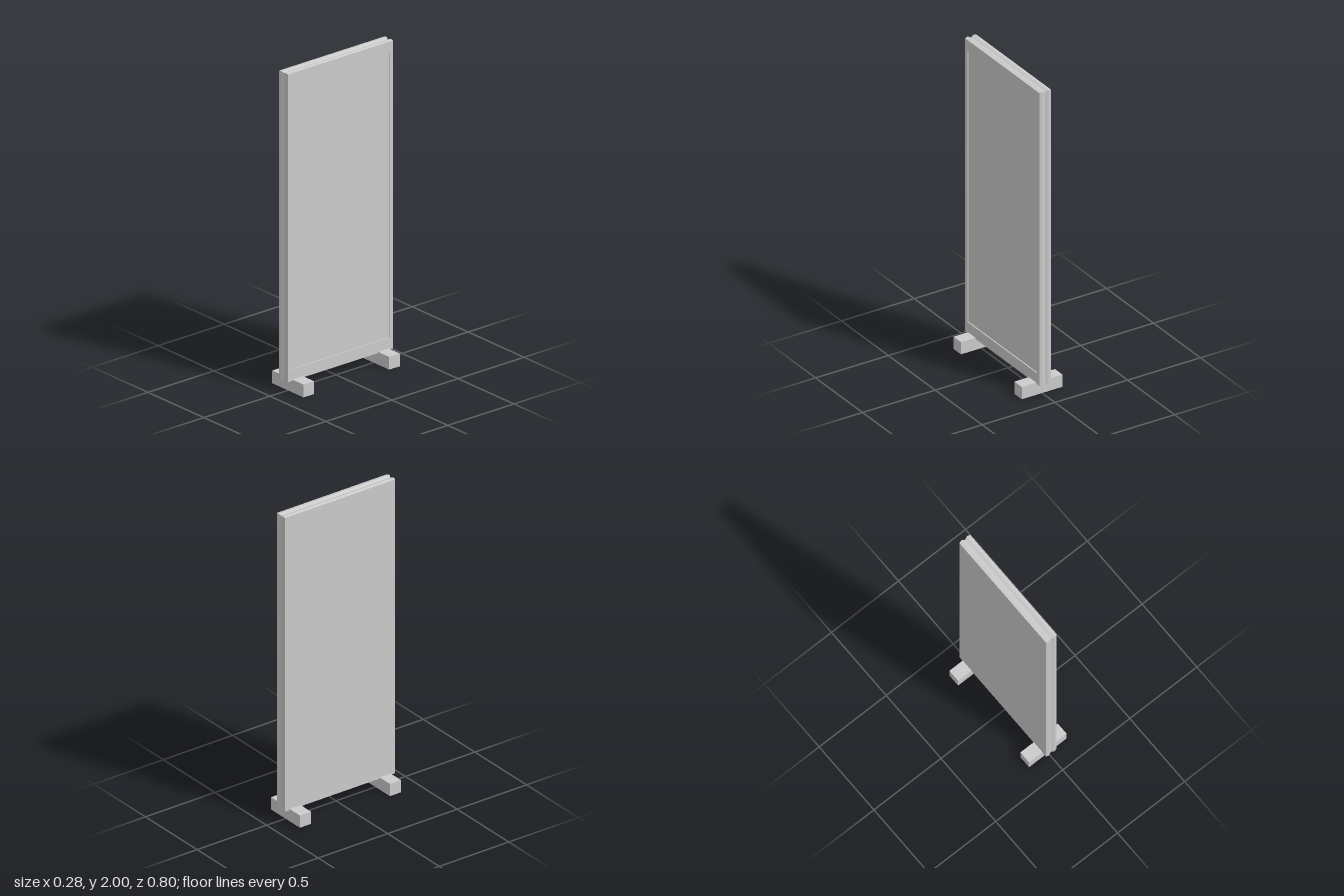
import * as THREE from 'three';

const material = new THREE.MeshStandardMaterial({ color: 0xcccccc, flatShading: true });

// Upright rectangle at depth x: half width in z, lower and upper height
function ring(x, halfZ, y0, y1) {
  return [[x, y0, halfZ], [x, y0, -halfZ], [x, y1, -halfZ], [x, y1, halfZ]];
}

// Outer outline of a panel, drawn in by a small inset
const outline = (x, inset) => ring(x, 0.4 - inset, 0.068 + inset, 2 - inset);

// Solid through rectangles ordered from -x to +x, closed at both ends
function loftRings(rings) {
  const pos = [];
  const quad = (a, b, c, d) => pos.push(...a, ...b, ...c, ...a, ...c, ...d);
  for (let i = 0; i < rings.length - 1; i++) {
    const a = rings[i], b = rings[i + 1];
    for (let j = 0; j < 4; j++) {
      const k = (j + 1) % 4;
      quad(a[j], a[k], b[k], b[j]);
    }
  }
  quad(...[...rings[0]].reverse());
  quad(...rings[rings.length - 1]);
  const g = new THREE.BufferGeometry();
  g.setAttribute('position', new THREE.Float32BufferAttribute(pos, 3));
  g.computeVertexNormals();
  return g;
}

export function createModel() {
  const model = new THREE.Group();
  const add = (name, geometry) => {
    const mesh = new THREE.Mesh(geometry, material);
    mesh.name = name;
    model.add(mesh);
    return mesh;
  };

  // Plain panel, with a slightly crowned rim
  add('plainPanel', loftRings([
    outline(-0.04, 0.004), outline(-0.02, 0), outline(0, 0.008),
  ]));

  // Framed panel, with a shallow recessed field
  add('framedPanel', loftRings([
    outline(0, 0.008), outline(0.02, 0), outline(0.04, 0.004),
    ring(0.04, 0.372, 0.145, 1.925), ring(0.033, 0.372, 0.145, 1.925),
  ]));

  // Two block feet across the panel
  for (const side of [1, -1]) {
    add(side > 0 ? 'frontFoot' : 'backFoot', new THREE.BoxGeometry(0.28, 0.08, 0.08))
      .position.set(0, 0.04, side * 0.324);
  }
  return model;
}
